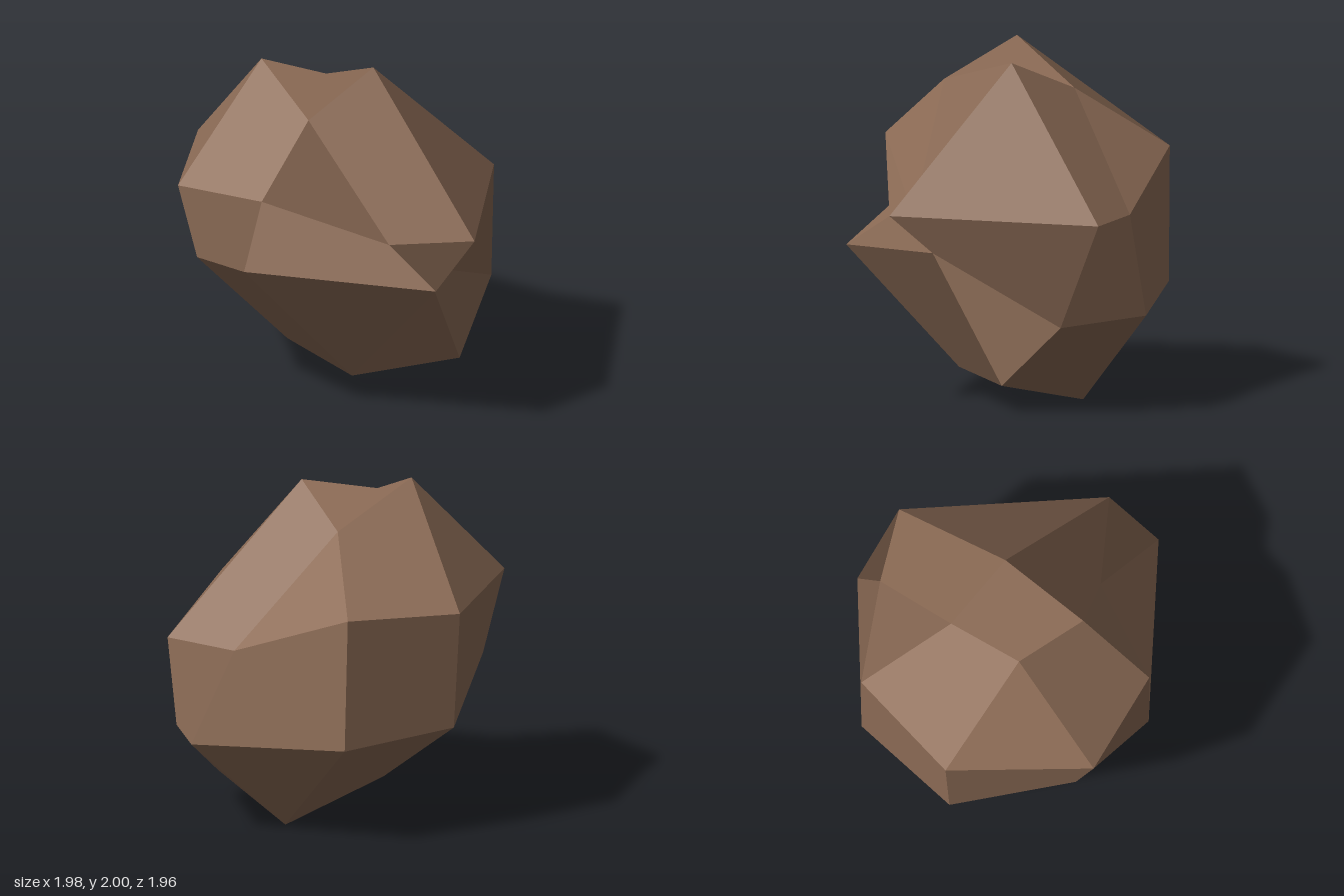
import * as THREE from 'three';

// Corners of the boulder: four on each of its six sides
const corners = {
  // top
  A: [-0.39, 2.0, -0.38], B: [-0.42, 1.79, 0.11], C: [0.115, 1.95, 0.015], Q: [0.11, 1.76, -0.43],
  // front
  I: [-0.15, 1.085, 0.52], J: [-0.16, 0.955, 0.98], K: [0.09, 0.895, 0.55], G: [0.17, 1.16, 0.91],
  // left (+x)
  H: [0.977, 1.125, 0.015], R: [0.745, 1.12, -0.37], L: [0.99, 0.575, -0.31], M: [0.835, 0.53, 0.18],
  // right (-x)
  D: [-0.99, 1.365, -0.375], E: [-0.84, 1.43, 0.225], F: [-0.91, 0.985, 0.15], V: [-0.85, 0.88, -0.38],
  // bottom
  O: [-0.165, 0.16, 0.185], N: [0.485, 0.16, 0.345], P: [0.38, 0.0, -0.3], W: [-0.22, 0.22, -0.36],
  // back
  S: [0.313, 1.4, -0.955], T: [-0.395, 1.35, -0.98], U: [0.325, 0.615, -0.94], X: [-0.38, 0.655, -0.933],
};

// Facets named by their corners; a quad is split from its first to its third corner
const facets = [
  'BCQA', 'JKGI', 'HRLM', 'DEFV', 'NPWO', 'STXU', // sides
  'CGIB', 'CQRH', 'AQST', 'BEDA', 'GKMH', 'FJIE', // bevels
  'ULRS', 'TXVD', 'KNOJ', 'NPLM', 'PWXU', 'WVFO',
  'BIE', 'CGH', 'QRS', 'ATD', 'JOF', 'KNM', 'UPL', 'XWV', // cut corners
];

function facetGeometry() {
  const centre = new THREE.Vector3(0, 1, 0);
  const positions = [], normals = [];
  for (const facet of facets) {
    let loop = [...facet].map((k) => new THREE.Vector3(...corners[k]));
    // one flat normal for the whole facet
    const normal = new THREE.Vector3(), middle = new THREE.Vector3();
    loop.forEach((p, i) => {
      normal.add(p.clone().cross(loop[(i + 1) % loop.length]));
      middle.addScaledVector(p, 1 / loop.length);
    });
    normal.normalize();
    // turn the loop so that it faces outwards
    if (normal.dot(middle.sub(centre)) < 0) {
      normal.negate();
      loop = [loop[0], ...loop.slice(1).reverse()];
    }
    for (let i = 1; i < loop.length - 1; i++) {
      for (const p of [loop[0], loop[i], loop[i + 1]]) {
        positions.push(p.x, p.y, p.z);
        normals.push(normal.x, normal.y, normal.z);
      }
    }
  }
  const geometry = new THREE.BufferGeometry();
  geometry.setAttribute('position', new THREE.Float32BufferAttribute(positions, 3));
  geometry.setAttribute('normal', new THREE.Float32BufferAttribute(normals, 3));
  return geometry;
}

export function createModel() {
  const group = new THREE.Group();
  group.name = 'rock';

  const brown = new THREE.MeshStandardMaterial({ color: 0x8d6c56 });
  brown.name = 'brown stone';
  brown.side = THREE.DoubleSide;

  const boulder = new THREE.Mesh(facetGeometry(), brown);
  boulder.name = 'boulder';
  group.add(boulder);
  return group;
}
